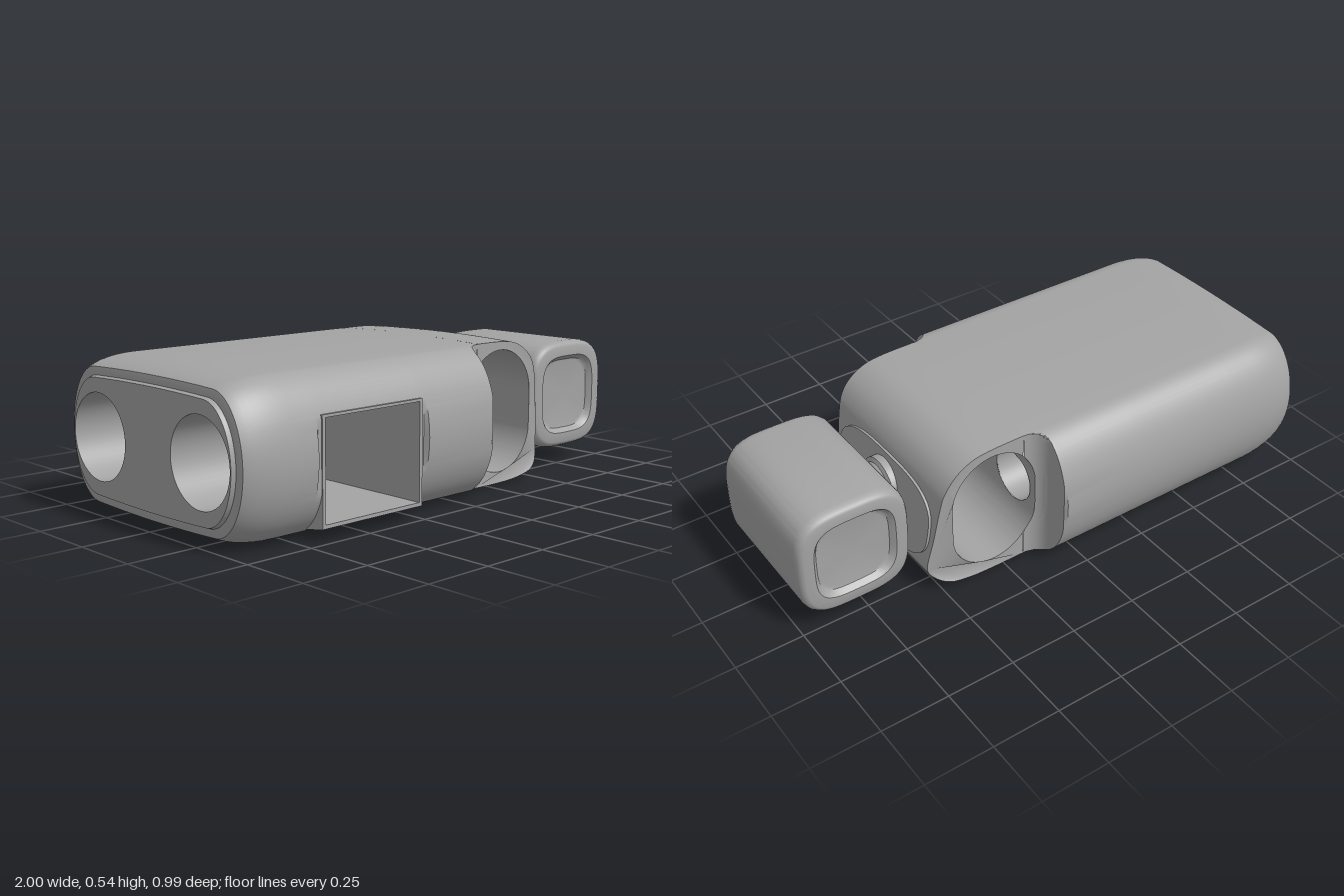
import * as THREE from 'three';
import { toCreasedNormals } from 'three/addons/utils/BufferGeometryUtils.js';

const CY = 0.27, HY = 0.262, HZ = 0.495, FLAT = 0.34;
const WIN = { x: 0.295, y: 0.275, r: 0.165, straight: 0.06 };
const NECK_X = 0.17;
const SOCKET = { z: 0.23, r: 0.1 };
const PORT = { z: 0.275, r: 0.15 };
const V = (x, y, z) => new THREE.Vector3(x, y, z);

// Surface through rows of points; skip(i, j) leaves a cell open
function grid(rows, { closed = false, skip = () => false, crease = 0.6 } = {}) {
  const n = rows[0].length, index = [];
  for (let i = 0; i < rows.length - 1; i++) {
    for (let j = 0; j < (closed ? n : n - 1); j++) {
      if (skip(i, j)) continue;
      const k = (j + 1) % n;
      const a = i * n + j, b = a + n, c = (i + 1) * n + k, d = i * n + k;
      index.push(a, b, c, a, c, d);
    }
  }
  const g = new THREE.BufferGeometry().setFromPoints(rows.flat());
  g.setIndex(index);
  return toCreasedNormals(g, crease);
}

// Rounded-square rings: each entry is [scale, z]
function squircle(rings, a, b, power, seg = 64) {
  const f = (v) => Math.sign(v) * Math.abs(v) ** (2 / power);
  return grid(rings.map(([s, z]) => Array.from({ length: seg }, (_, i) => {
    const t = -i / seg * Math.PI * 2;
    return V(a * s * f(Math.cos(t)), b * s * f(Math.sin(t)), z);
  })), { closed: true, crease: 0.7 });
}

// Left edge of the window at height y
function windowLeft(y) {
  const dy = Math.max(0, Math.abs(y - WIN.y) - WIN.straight);
  return dy < WIN.r ? WIN.x - Math.sqrt(WIN.r ** 2 - dy ** 2) : Infinity;
}

// Half depth of the narrow end, with a fillet at the step and a rounded tip
function sideZ(x) {
  if (x < NECK_X) return 0.415 - 0.07 * Math.sqrt(Math.max(0, 1 - ((NECK_X - x) / 0.07) ** 2));
  return x > 0.46 ? 0.345 - 0.04 * ((x - 0.46) / 0.09) ** 2 : 0.345;
}

// Cross-section of the main body as [z, y offset]
function bodySection() {
  const angles = Array.from({ length: 41 }, (_, i) => (i / 40 - 0.5) * Math.PI);
  angles.push(Math.asin((0.4 - CY) / HY), Math.asin((0.05 - CY) / HY));
  angles.sort((p, q) => p - q);
  const half = angles.map((a) => [FLAT + (HZ - FLAT) * Math.cos(a), HY * Math.sin(a)]);
  for (let i = 1; i < 12; i++) {
    const z = FLAT * (1 - i / 6);
    half.push([z, HY + 0.008 * (1 - (z / FLAT) ** 2)]);
  }
  return half.concat(half.map(([z, y]) => [-z, -y]));
}

function bodyGeometry(section) {
  const stations = [{ x: -1, d: 0.065 }, { x: -0.985, d: 0.06 }, { x: -0.985, d: 0.05 }];
  for (let i = 1; i <= 8; i++) {
    const x = -0.8 - 0.185 * Math.cos(i / 8 * Math.PI / 2);
    stations.push({ x, d: 0.055 * (1 - Math.sqrt(1 - ((-0.8 - x) / 0.2) ** 2)) });
  }
  stations.push({ x: -0.71 }, { x: -0.7, front: 0.477 }, { x: -0.68, front: 0.477 });
  const open = stations.length - 1;
  stations.push({ x: -0.25, front: 0.477 }, { x: -0.235, front: 0.477 }, { x: -0.225 },
    { x: 0.09 }, { x: 0.1, max: 0.485 });
  for (let i = 0; i <= 8; i++) stations.push({ t: i / 8 });
  const rows = stations.map(({ x, d = 0, front = 1, max = 1, t }) => section.map(([z, y]) => {
    let px = x, limit = max;
    if (t !== undefined) {
      const end = Math.abs(z) >= FLAT ? Math.min(NECK_X, windowLeft(CY + y)) : NECK_X;
      px = 0.1 + (end - 0.1) * (1 - Math.cos(t * Math.PI / 2));
      limit = sideZ(px);
    }
    const pz = z * (HZ - d) / HZ;
    return V(px, CY + y * (CY - d) / CY, Math.max(-limit, Math.min(limit, front, pz)));
  }));
  const inPocket = (j) => {
    const [z, y] = section[j], next = section[j + 1];
    return z > FLAT && next && CY + y > 0.0499 && CY + next[1] < 0.4001;
  };
  return grid(rows, { closed: true, skip: (i, j) => i === open && inPocket(j) });
}

// Window outline, clockwise from the middle of the left side
function windowPoints() {
  const pts = [];
  for (let i = 0; i <= 128; i++) {
    const t = Math.PI - i / 128 * Math.PI * 2, s = Math.sin(t);
    const shift = Math.max(-1, Math.min(1, s * 8)) * WIN.straight;
    pts.push(new THREE.Vector2(WIN.x + WIN.r * Math.cos(t), WIN.y + WIN.r * s + shift));
  }
  return pts;
}

export function createModel() {
  const model = new THREE.Group();
  const grey = new THREE.MeshStandardMaterial({ color: 0xa4a4a4, side: THREE.DoubleSide });
  grey.name = 'grey';
  const add = (name, geometry) => {
    const mesh = new THREE.Mesh(geometry, grey);
    mesh.name = name;
    model.add(mesh);
    return mesh;
  };

  // Main body with an open pocket and the filleted step
  const section = bodySection();
  add('body', bodyGeometry(section));

  // Flat end with two round ports
  const d = 0.065;
  const endShape = new THREE.Shape(section.map(([z, y]) =>
    new THREE.Vector2(z * (HZ - d) / HZ, CY + y * (CY - d) / CY)));
  for (const s of [-1, 1]) {
    endShape.holes.push(new THREE.Path().absarc(s * PORT.z, CY, PORT.r, 0, Math.PI * 2));
  }
  add('portEnd', new THREE.ShapeGeometry(endShape, 24).rotateY(-Math.PI / 2).translate(-1, 0, 0));

  // Blind round holes in the end and in the window
  const blindHole = (name, x0, x1, floorX, z, y, r) => {
    add(name, new THREE.CylinderGeometry(r, r, x1 - x0, 48, 1, true)
      .rotateZ(Math.PI / 2).translate((x0 + x1) / 2, y, z));
    add(name + 'Floor', new THREE.CircleGeometry(r, 48).rotateY(Math.PI / 2).translate(floorX, y, z));
  };
  for (const s of [-1, 1]) {
    blindHole('port', -1, -0.72, -0.72, s * PORT.z, CY, PORT.r);
    blindHole('windowSocket', -0.15, 0.132, -0.15, s * SOCKET.z, WIN.y, SOCKET.r);
  }

  // Square pocket with a thin rim; the underside slopes into the body
  const rect = (x0, x1, y0, y1, z) => [V(x0, y0, z), V(x1, y0, z), V(x1, y1, z), V(x0, y1, z)];
  add('pocket', grid([
    rect(-0.685, -0.245, 0.02, 0.405, 0.36),
    rect(-0.685, -0.245, 0.042, 0.405, 0.481),
    rect(-0.672, -0.258, 0.055, 0.395, 0.481),
    rect(-0.672, -0.258, 0.055, 0.395, -0.25),
    rect(-0.465, -0.465, 0.22, 0.22, -0.25),
  ], { closed: true, crease: 0.3 }));

  // Narrow end: curved outer wall
  const outline = new THREE.SplineCurve([
    [NECK_X, 0.532], [0.3, 0.53], [0.38, 0.518], [0.445, 0.48], [0.485, 0.425], [0.503, 0.36],
    [0.525, 0.23], [0.545, 0.11], [0.53, 0.065], [0.47, 0.03], [0.39, 0.013], [0.3, 0.008], [NECK_X, 0.008],
  ].map(([x, y]) => new THREE.Vector2(x, y))).getPoints(72);
  add('narrowEnd', grid(outline.map(({ x, y }) => Array.from({ length: 13 }, (_, i) => {
    const u = 1 - i / 6;
    return V(x, y + 0.008 * (1 - u * u) * (y - CY) / HY, u * sideZ(x));
  }))));

  // Side faces around the window
  const win = windowPoints();
  const cut = win.filter((p) => p.x > NECK_X);
  const side = new THREE.Shape([...outline, ...cut.reverse()]);
  for (const s of [-1, 1]) {
    const g = new THREE.ShapeGeometry(side);
    const p = g.attributes.position;
    for (let i = 0; i < p.count; i++) p.setZ(i, s * sideZ(p.getX(i)));
    if (s < 0) g.setIndex(Array.from(g.index.array).reverse());
    g.computeVertexNormals();
    add('windowSide', g);
  }

  // Window wall, left open at the two sockets
  add('windowWall', grid(win.map(({ x, y }) => {
    const h = x < WIN.x ? Math.sqrt(Math.max(0, SOCKET.r ** 2 - (y - WIN.y) ** 2)) : 0;
    const e = sideZ(x), c = SOCKET.z;
    return [-e, -c - h, -c + h, c - h, c + h, e].map((z) => V(x, y, z));
  }), { skip: (i, j) => j === 1 || j === 3 }));

  // Tilted end plate
  const plate = add('endPlate', squircle([[0, -0.006], [1, -0.006], [1, 0.006], [0, 0.006]], 0.3, 0.15, 3));
  plate.rotation.set(-0.17, Math.PI / 2, 0, 'YXZ');
  plate.position.set(0.527, 0.245, 0);

  // Spool-shaped neck
  const spool = [[0, -0.07], [0.1, -0.07], [0.1, -0.035], [0.085, -0.028], [0.078, -0.015],
    [0.08, -0.005], [0.092, 0.006], [0.092, 0.02]];
  const neck = new THREE.LatheGeometry(spool.map(([r, y]) => new THREE.Vector2(r, y)), 48);
  add('neck', toCreasedNormals(neck.rotateZ(-Math.PI / 2).translate(0.575, CY, 0), 0.6));

  // Rounded head block with a shallow dish on both ends
  const half = [[0, 0.248], [0.6, 0.248], [0.65, 0.25], [0.69, 0.261], [0.73, 0.27], [0.9, 0.27],
    [0.95, 0.265], [0.985, 0.252], [1, 0.235]];
  const rings = [...half.map(([s, z]) => [s, -z]), ...half.slice().reverse()];
  add('headBlock', squircle(rings, 0.21, 0.208, 3.6, 96).translate(0.79, 0.273, -0.003));

  return model;
}
